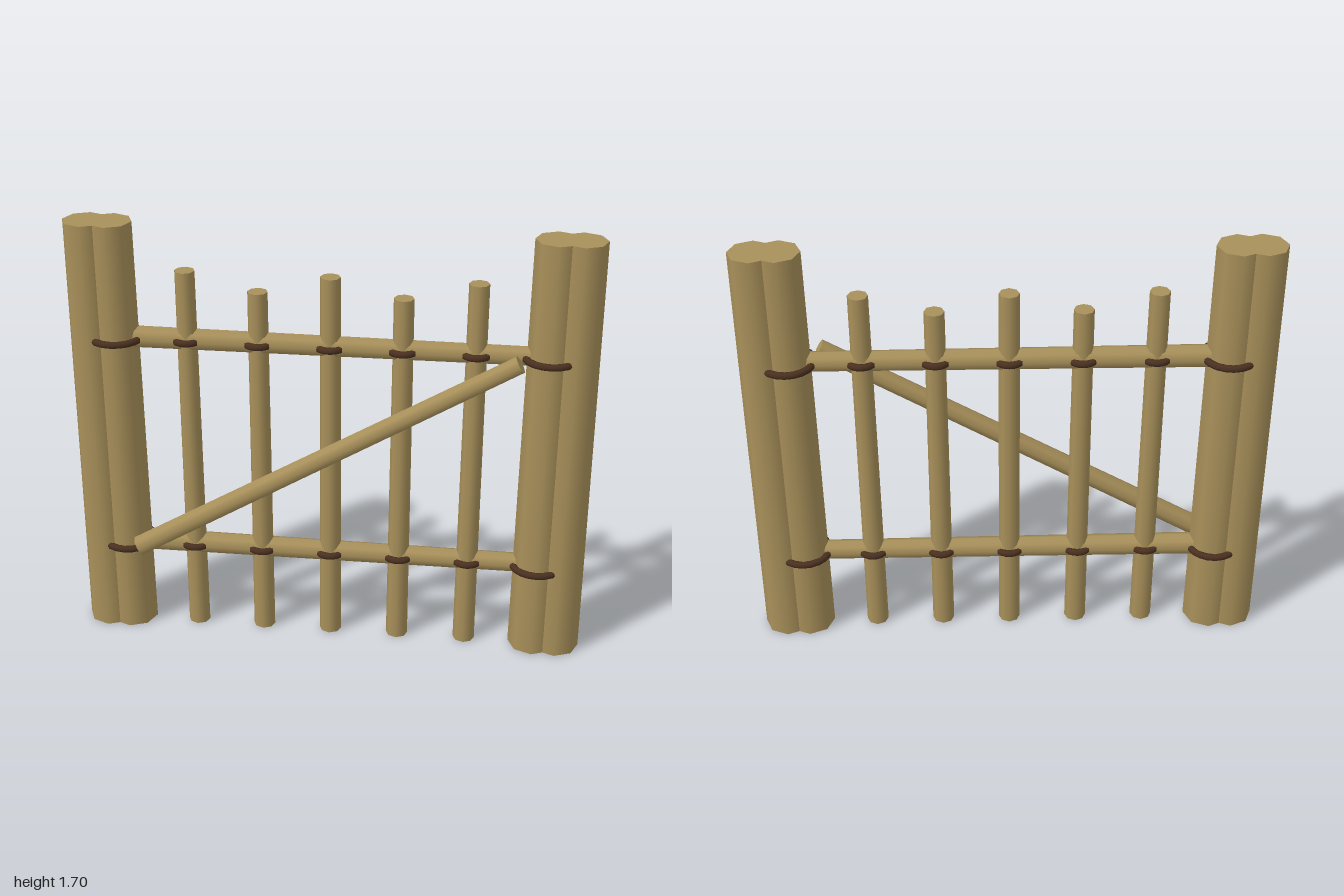
import * as THREE from 'three';

const wood = new THREE.MeshStandardMaterial({ color: 0xa8905a });
const rope = new THREE.MeshStandardMaterial({ color: 0x4a3020 });
const Z = -0.01; // centre plane of the fence
const RAIL_HEIGHTS = [0.365, 1.247];

// Tapered eight-sided pole running from point a to point b
function pole(name, a, b, rA, rB) {
  const start = new THREE.Vector3(...a);
  const end = new THREE.Vector3(...b);
  const dir = end.clone().sub(start);
  const mesh = new THREE.Mesh(new THREE.CylinderGeometry(rB, rA, dir.length(), 8), wood);
  mesh.position.copy(start).add(end).multiplyScalar(0.5);
  mesh.quaternion.setFromUnitVectors(new THREE.Vector3(0, 1, 0), dir.normalize());
  mesh.name = name;
  return mesh;
}

// Horizontal ring of lashing around an upright
function lashing(name, x, y, radius) {
  const mesh = new THREE.Mesh(new THREE.TorusGeometry(radius, 0.014, 8, 20), rope);
  mesh.rotation.x = Math.PI / 2;
  mesh.position.set(x, y, Z);
  mesh.name = name;
  return mesh;
}

export function createModel() {
  const gate = new THREE.Group();
  gate.name = 'woodenGate';

  // Paired posts at each end
  for (const [side, s] of [['left', 1], ['right', -1]]) {
    gate.add(pole(side + 'OuterPost', [s * 0.905, 0, Z], [s * 0.905, 1.7, Z], 0.095, 0.085));
    gate.add(pole(side + 'InnerPost', [s * 0.815, 0, Z], [s * 0.815, 1.7, Z], 0.095, 0.085));
    for (const y of RAIL_HEIGHTS) gate.add(lashing(side + 'PostLashing', s * 0.815, y, 0.098));
  }

  // Cross rails
  for (const y of RAIL_HEIGHTS) {
    gate.add(pole('rail', [-0.8, y, Z], [0.8, y, Z], 0.044, 0.038));
  }

  // Pickets of alternating height, lashed to both rails
  for (let i = 0; i < 5; i++) {
    const x = (i - 2) * 0.271;
    const height = i % 2 ? 1.45 : 1.52;
    gate.add(pole('picket', [x, 0, Z], [x, height, Z], 0.043, 0.038));
    for (const y of RAIL_HEIGHTS) gate.add(lashing('picketLashing', x, y, 0.05));
  }

  // Diagonal brace across the front
  gate.add(pole('diagonalBrace', [-0.75, 0.385, 0.083], [0.705, 1.25, 0.08], 0.041, 0.035));

  return gate;
}
